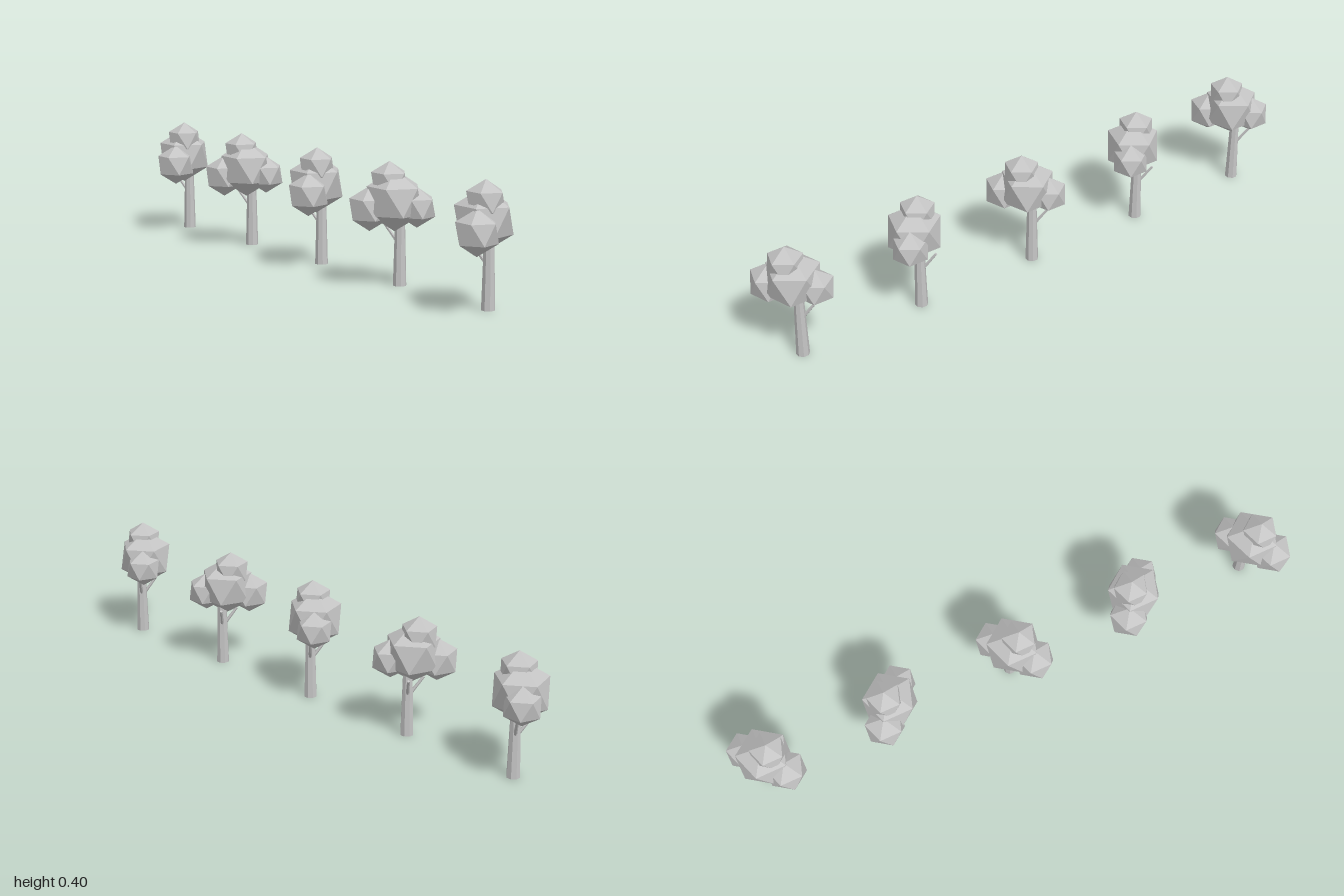
import * as THREE from 'three';

const grey = new THREE.MeshStandardMaterial({ color: 0xc4c4c4, flatShading: true });
grey.name = 'grey';

// Leaf clumps: name, centre (x, y, z from the tree's middle), radius
const CLUMPS = [
  ['mainFoliage', 0.009, 0.276, 0, 0.099],
  ['topFoliage', 0.001, 0.335, 0.018, 0.065],
  ['rightFoliage', -0.054, 0.249, 0.048, 0.072],
  ['leftFoliage', 0.06, 0.2555, -0.049, 0.065],
];
const TRUNK_X = 0.032;
const TRUNK_Z = -0.002;

function add(group, name, geometry) {
  const mesh = new THREE.Mesh(geometry, grey);
  mesh.name = name;
  group.add(mesh);
  return mesh;
}

// Tapered limb between two points
function limb(group, name, from, to, r0, r1, sides) {
  const a = new THREE.Vector3(...from), b = new THREE.Vector3(...to);
  const dir = b.clone().sub(a);
  const geo = new THREE.CylinderGeometry(r1, r0, dir.length(), sides);
  geo.rotateY(Math.PI / sides);
  const mesh = add(group, name, geo);
  mesh.position.copy(a).add(b).multiplyScalar(0.5);
  mesh.quaternion.setFromUnitVectors(new THREE.Vector3(0, 1, 0), dir.normalize());
}

// side = 1 or -1 flips the crown front to back
function makeTree(side) {
  const tree = new THREE.Group();
  limb(tree, 'trunk', [TRUNK_X, 0, TRUNK_Z], [TRUNK_X, 0.26, TRUNK_Z], 0.022, 0.015, 8);
  limb(tree, 'leftBranch', [TRUNK_X, 0.13, TRUNK_Z], [0.07, 0.205, -0.041], 0.0065, 0.0045, 6);
  limb(tree, 'rightBranch', [TRUNK_X, 0.13, TRUNK_Z], [-0.005, 0.2, -0.037], 0.0065, 0.0045, 6);
  for (const [name, x, y, z, r] of CLUMPS) {
    const geo = new THREE.IcosahedronGeometry(r, 0);
    geo.rotateZ(-Math.atan2(2, 1 + Math.sqrt(5))); // one corner straight up
    add(tree, name, geo).position.set(x, y, z * side);
  }
  return tree;
}

export function createModel() {
  const model = new THREE.Group();
  model.name = 'treeRow';
  for (let i = 0; i < 5; i++) {
    const tree = makeTree(i % 2 ? -1 : 1);
    tree.name = 'tree' + (i + 1);
    tree.position.z = 0.891 - i * 0.447;
    model.add(tree);
  }
  return model;
}
